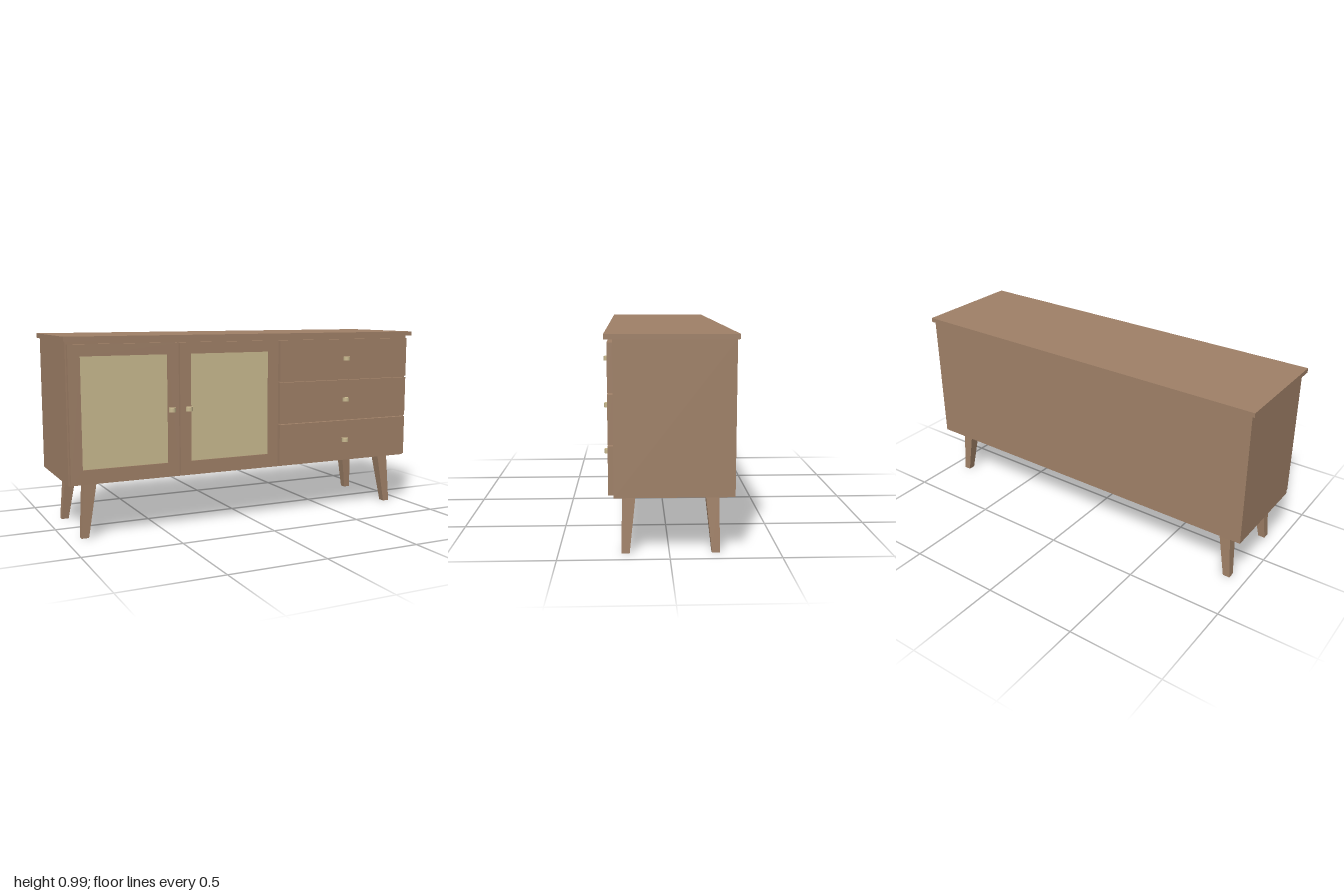
import * as THREE from 'three';

export function createModel() {
  const model = new THREE.Group();
  model.name = 'sideboard';
  const wood = new THREE.MeshStandardMaterial({ color: 0x9f8067 });
  wood.name = 'wood';
  const cane = new THREE.MeshStandardMaterial({ color: 0xc9b98f });
  cane.name = 'cane';

  function add(name, geometry, material) {
    const mesh = new THREE.Mesh(geometry, material);
    mesh.name = name;
    model.add(mesh);
    return mesh;
  }

  // Box given by its limits on each axis
  function box(name, [x0, x1], [y0, y1], [z0, z1], material = wood) {
    const mesh = add(name, new THREE.BoxGeometry(x1 - x0, y1 - y0, z1 - z0), material);
    mesh.position.set((x0 + x1) / 2, (y0 + y1) / 2, (z0 + z1) / 2);
    return mesh;
  }

  function knob(name, x, y) {
    add(name, new THREE.CylinderGeometry(0.018, 0.018, 0.021, 20), cane).position.set(x, y, 0.282);
  }

  const bodyFront = 0.247, faceFront = 0.271, bottom = 0.285, top = 0.953;

  // Cabinet and overhanging top
  box('cabinet', [-0.985, 0.985], [0.275, 0.967], [-0.287, bodyFront]);
  box('topBoard', [-1, 1], [0.967, 0.99], [-0.297, 0.284]);

  // Framed doors with slightly recessed cane panels
  function door(name, x0, x1, knobX) {
    const border = 0.059;
    const rect = (path, a, b, c, d) =>
      path.moveTo(a, c).lineTo(b, c).lineTo(b, d).lineTo(a, d).closePath();
    const shape = new THREE.Shape();
    rect(shape, x0, x1, bottom, top);
    const hole = new THREE.Path();
    const px = [x0 + border, x1 - border], py = [bottom + 0.067, top - 0.057];
    rect(hole, px[0], px[1], py[0], py[1]);
    shape.holes.push(hole);
    const frame = new THREE.ExtrudeGeometry(shape, { depth: faceFront - bodyFront, bevelEnabled: false });
    add(name + 'Frame', frame, wood).position.z = bodyFront;
    box(name + 'Panel', px, py, [0.256, 0.265], cane);
    knob(name + 'Knob', knobX, 0.62);
  }
  door('rightDoor', -0.979, -0.423, -0.463);
  door('middleDoor', -0.416, 0.141, -0.372);

  // Three stacked drawers
  [[bottom, 0.503], [0.511, 0.729], [0.737, top]].forEach(([y0, y1], i) => {
    box('drawer' + (i + 1), [0.154, 0.975], [y0, y1], [bodyFront, faceFront]);
    knob('drawerKnob' + (i + 1), 0.563, (y0 + y1) / 2 + 0.002);
  });

  // Splayed, tapered square legs: outer edges lean out, inner edges taper
  function leg(name, sx, sz) {
    const geometry = new THREE.BoxGeometry(1, 1, 1);
    const p = geometry.attributes.position;
    for (let i = 0; i < p.count; i++) {
      const high = p.getY(i) > 0;
      const half = high ? 0.031 : 0.0185;
      const x = sx * (high ? 0.868 : 0.902) + Math.sign(p.getX(i)) * half;
      const z = -0.0065 + sz * (high ? 0.187 : 0.204) + Math.sign(p.getZ(i)) * half;
      p.setXYZ(i, x, high ? 0.278 : 0, z);
    }
    geometry.computeVertexNormals();
    add(name, geometry, wood);
  }
  leg('frontLeftLeg', 1, 1);
  leg('frontRightLeg', -1, 1);
  leg('backLeftLeg', 1, -1);
  leg('backRightLeg', -1, -1);

  return model;
}
